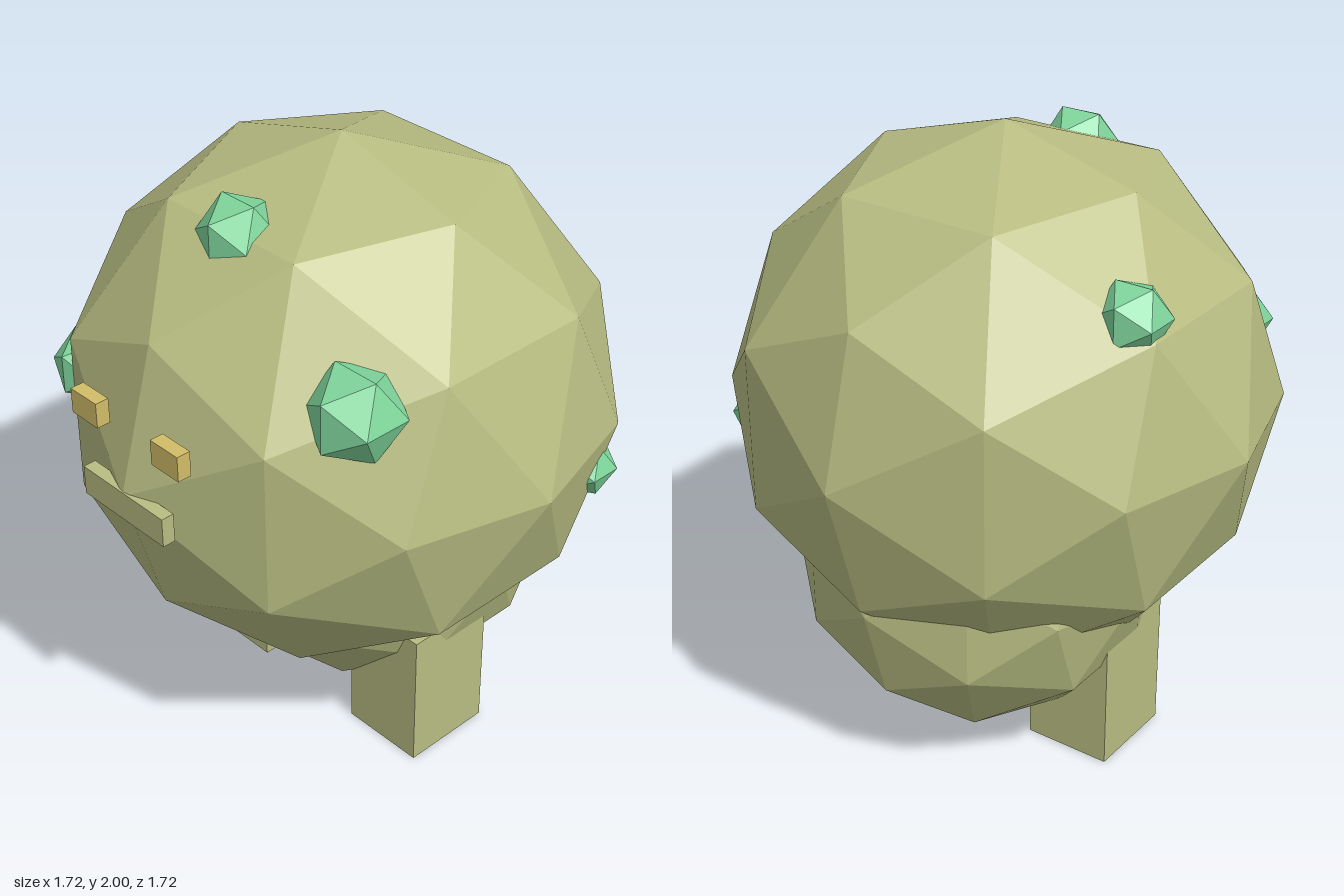
import * as THREE from 'three';

function material(name, color) {
  const m = new THREE.MeshStandardMaterial({ color, flatShading: true });
  m.name = name;
  return m;
}

export function createModel() {
  const model = new THREE.Group();
  model.name = 'crystalCreature';
  const moss = material('moss', 0xb8bd82);
  const amber = material('amber', 0xd2bc68);
  const jade = material('jade', 0x80d69c);

  const add = (name, geometry, mat, x, y, z) => {
    const mesh = new THREE.Mesh(geometry, mat);
    mesh.name = name;
    mesh.position.set(x, y, z);
    model.add(mesh);
  };

  // Large faceted body and the smaller rump below and behind it
  add('body', new THREE.IcosahedronGeometry(0.86, 1), moss, 0, 1.14, 0);
  add('rump', new THREE.IcosahedronGeometry(0.59, 1), moss, 0, 0.655, -0.125);

  // Mirrored legs and eyes
  for (const [side, s] of [['left', 1], ['right', -1]]) {
    add(side + 'Leg', new THREE.BoxGeometry(0.29, 0.48, 0.31), moss, s * 0.355, 0.24, 0);
    add(side + 'Eye', new THREE.BoxGeometry(0.116, 0.082, 0.045), amber, s * 0.18, 1.346, 0.817);
  }

  // Mouth bar
  add('mouth', new THREE.BoxGeometry(0.357, 0.095, 0.042), moss, 0, 1.107, 0.839);

  // Crystals half sunk into the body: radius, x, y, z
  const crystals = [
    ['crownCrystal', 0.128, 0, 1.81, 0.395],
    ['leftShoulderCrystal', 0.15, 0.54, 1.507, 0.463],
    ['rightCheekCrystal', 0.119, -0.465, 1.268, 0.607],
    ['rightBackCrystal', 0.115, -0.607, 1.62, -0.247],
    ['leftBackCrystal', 0.1, 0.675, 0.997, -0.378],
  ];
  for (const [name, r, x, y, z] of crystals) {
    add(name, new THREE.IcosahedronGeometry(r, 0), jade, x, y, z);
  }

  return model;
}
